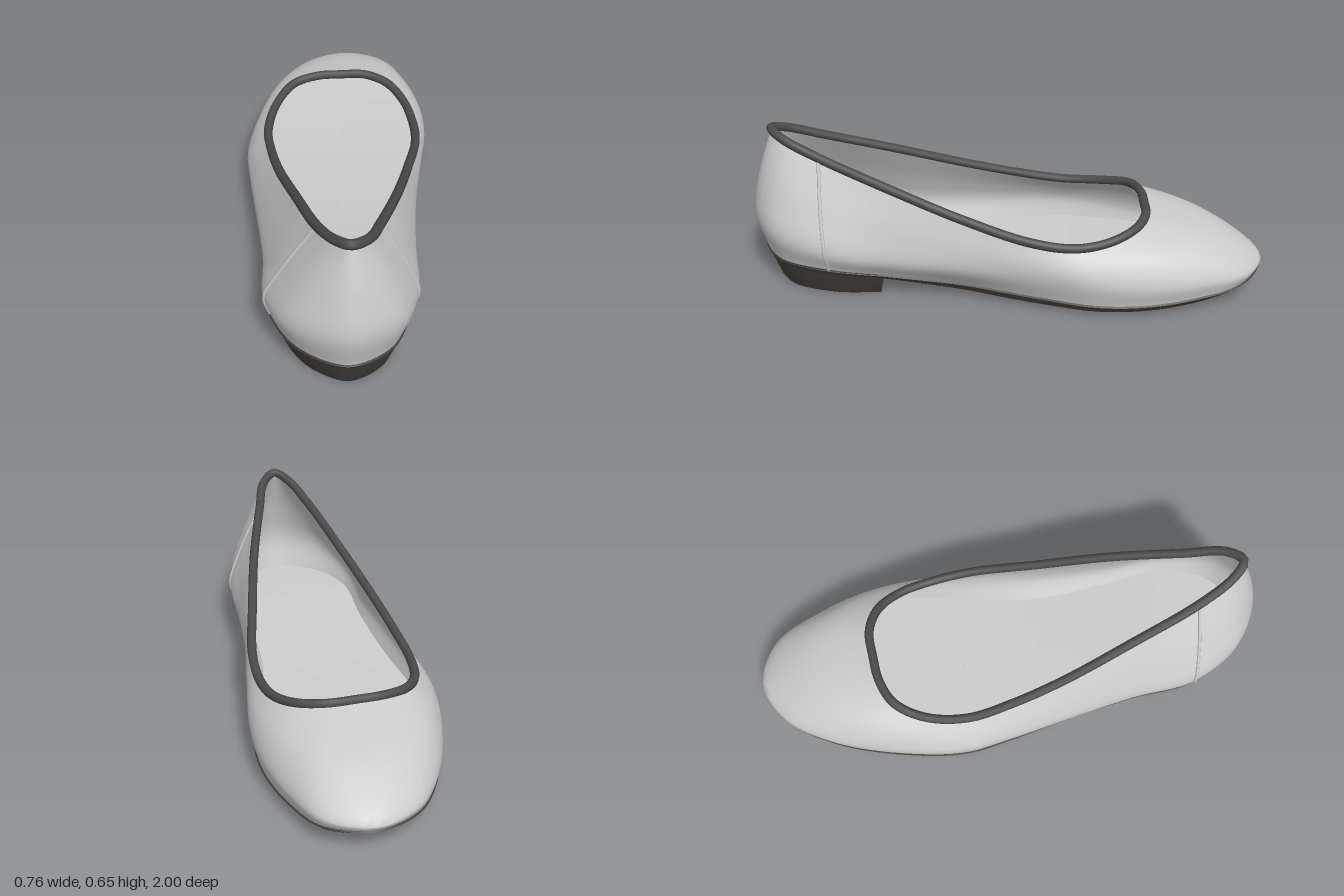
import * as THREE from 'three';
import { toCreasedNormals } from 'three/addons/utils/BufferGeometryUtils.js';

const SEG = 160;

// Stations around the shoe, toe -> left side -> heel -> right side:
// widest outline x, z | collar x, z | inset of the sole edge
const stations = [
  [0.08, -1.0, 0.02, -0.535, 0.008], [0.24, -0.92, 0.13, -0.53, 0.01],
  [0.325, -0.73, 0.22, -0.48, 0.012], [0.37, -0.52, 0.28, -0.38, 0.015],
  [0.37, -0.33, 0.305, -0.25, 0.02], [0.325, -0.1, 0.3, -0.08, 0.035],
  [0.275, 0.18, 0.245, 0.17, 0.055], [0.25, 0.45, 0.175, 0.45, 0.04],
  [0.235, 0.7, 0.09, 0.72, 0.03], [0.15, 0.91, 0.04, 0.86, 0.033],
  [-0.03, 1.0, -0.02, 0.91, 0.035], [-0.22, 0.9, -0.07, 0.86, 0.033],
  [-0.315, 0.7, -0.125, 0.72, 0.02], [-0.32, 0.45, -0.19, 0.45, 0.02],
  [-0.345, 0.18, -0.25, 0.17, 0.025], [-0.37, -0.06, -0.28, -0.04, 0.02],
  [-0.38, -0.25, -0.29, -0.22, 0.015], [-0.335, -0.48, -0.255, -0.38, 0.015],
  [-0.23, -0.75, -0.18, -0.49, 0.012], [-0.09, -0.935, -0.08, -0.53, 0.01],
];

// Smooth interpolation through [z, value] pairs
function ramp(pts) {
  const slope = (i) => {
    const a = pts[Math.max(i - 1, 0)], b = pts[Math.min(i + 1, pts.length - 1)];
    return (b[1] - a[1]) / (b[0] - a[0]);
  };
  return (z) => {
    const c = Math.min(Math.max(z, pts[0][0]), pts[pts.length - 1][0]);
    let i = 0;
    while (i < pts.length - 2 && c > pts[i + 1][0]) i++;
    const [z0, a] = pts[i], [z1, b] = pts[i + 1];
    const h = z1 - z0, s = (c - z0) / h, s2 = s * s, s3 = s2 * s;
    return a * (2 * s3 - 3 * s2 + 1) + b * (3 * s2 - 2 * s3)
      + h * (slope(i) * (s3 - 2 * s2 + s) + slope(i + 1) * (s3 - s2));
  };
}

const collarY = ramp([[-0.535, 0.325], [-0.4, 0.29], [-0.28, 0.275], [-0.15, 0.285], [0, 0.32],
  [0.2, 0.375], [0.45, 0.46], [0.72, 0.55], [0.91, 0.628]]);
const edgeY = ramp([[-1, 0.105], [-0.8, 0.072], [-0.4, 0.053], [0, 0.06], [0.25, 0.08],
  [0.5, 0.108], [0.7, 0.127], [1, 0.132]]);
const soleY = ramp([[-1, 0.092], [-0.9, 0.066], [-0.7, 0.036], [-0.35, 0.02], [0, 0.024],
  [0.25, 0.048], [0.5, 0.083], [1, 0.1]]);
const bulgeY = ramp([[-1, 0.122], [-0.4, 0.135], [0, 0.15], [0.5, 0.18], [0.7, 0.21], [1, 0.28]]);
const lift = ramp([[-1, 0.038], [-0.6, 0.025], [-0.25, 0], [1, 0]]);
const midX = ramp([[-1, 0.08], [-0.5, 0.03], [0, -0.02], [1, -0.03]]);

const loop = (f) => new THREE.CatmullRomCurve3(stations.map(f), true);
const outline = loop(([x, z, , , inset]) => new THREE.Vector3(x, inset, z));
const collar = loop(([, , x, z]) => new THREE.Vector3(x, collarY(z), z));

function outward(t) {
  const d = outline.getTangent(t);
  return new THREE.Vector3(d.z, 0, -d.x).normalize();
}

// Point on the sole edge, moved inward by extra and set to height yAt(z)
function edgePoint(t, extra, yAt) {
  const p = outline.getPoint(t);
  p.addScaledVector(outward(t), -p.y - extra);
  p.y = yAt(p.z);
  return p;
}

// Curve up the side wall from the sole edge to the collar
function wall(t) {
  const out = outward(t), bulge = outline.getPoint(t), top = collar.getPoint(t);
  bulge.y = bulgeY(bulge.z);
  const mid = bulge.clone().lerp(top, 0.42).addScaledVector(out, 0.014);
  mid.y += lift(bulge.z);
  return new THREE.CatmullRomCurve3([edgePoint(t, 0, edgeY), bulge, mid, top]);
}

// Slide a ring sideways onto the centre line to close a cap
const toMiddle = (ring, k) => ring.map((p) =>
  new THREE.Vector3(THREE.MathUtils.lerp(p.x, midX(p.z), k), p.y, p.z));

// Skin through closed rings of equal length
function loft(rings, crease = 0.7) {
  const n = rings[0].length, index = [];
  for (let r = 0; r < rings.length - 1; r++) {
    for (let i = 0; i < n; i++) {
      const a = r * n + i, b = r * n + (i + 1) % n;
      index.push(a, a + n, b, b, a + n, b + n);
    }
  }
  const g = new THREE.BufferGeometry().setFromPoints(rings.flat());
  g.setIndex(index);
  return toCreasedNormals(g, crease);
}

export function createModel() {
  const group = new THREE.Group();
  const leather = new THREE.MeshStandardMaterial({ color: 0xcccccc, side: THREE.DoubleSide });
  const trim = new THREE.MeshStandardMaterial({ color: 0x4a4a4a });
  const rubber = new THREE.MeshStandardMaterial({ color: 0x46413c, side: THREE.DoubleSide });
  const add = (name, geometry, material) => {
    const mesh = new THREE.Mesh(geometry, material);
    mesh.name = name;
    group.add(mesh);
  };
  const ts = Array.from({ length: SEG }, (_, i) => i / SEG);
  const rows = Array.from({ length: 23 }, (_, i) => i / 22);

  // Outer upper and the lining just inside it
  const walls = ts.map(wall);
  const outer = rows.map((v) => walls.map((w) => w.getPoint(v)));
  add('upper', loft(outer, 1.2), leather);
  const inner = outer.map((ring) => ring.map((p, i) => {
    const q = p.clone().addScaledVector(outward(ts[i]), -0.016);
    q.y -= 0.014 * THREE.MathUtils.smoothstep(-p.z, 0.3, 0.6);
    return q;
  })).reverse();
  add('lining', loft(inner, 1.2), leather);

  // Insole
  const insole = ts.map((t) => edgePoint(t, 0.012, (z) => edgeY(z) + 0.015));
  add('insole', loft([insole, toMiddle(insole, 0.5), toMiddle(insole, 1)]), leather);

  // Dark binding around the opening
  add('collarBinding', new THREE.TubeGeometry(collar, 200, 0.018, 10, true), trim);

  // Thin outsole
  const bottom = ts.map((t) => edgePoint(t, 0.012, soleY));
  const rim = ts.map((t) => edgePoint(t, -0.005, (z) => edgeY(z) - 0.006));
  const lip = ts.map((t) => edgePoint(t, 0.004, (z) => edgeY(z) + 0.004));
  add('outsole', loft([toMiddle(bottom, 1), toMiddle(bottom, 0.5), bottom, rim, lip]), rubber);

  // Tapered heel block with a straight front face
  const heelTs = Array.from({ length: 61 }, (_, i) => (7.2 + 5.6 * i / 60) / 20);
  const heelRing = (extra, yAt) => heelTs.map((t) => edgePoint(t, extra, yAt));
  const heelBase = heelRing(0.046, () => 0);
  add('heel', loft([toMiddle(heelBase, 1), heelBase, heelRing(0.041, () => 0.008),
    heelRing(0.006, (z) => edgeY(z) - 0.025), heelRing(-0.004, edgeY)], 0.6), rubber);

  // Raised seams where the heel counter meets the sides
  for (const [name, station] of [['leftSeam', 8], ['rightSeam', 12]]) {
    add(name, new THREE.TubeGeometry(wall(station / 20), 40, 0.007, 6), leather);
  }
  return group;
}
